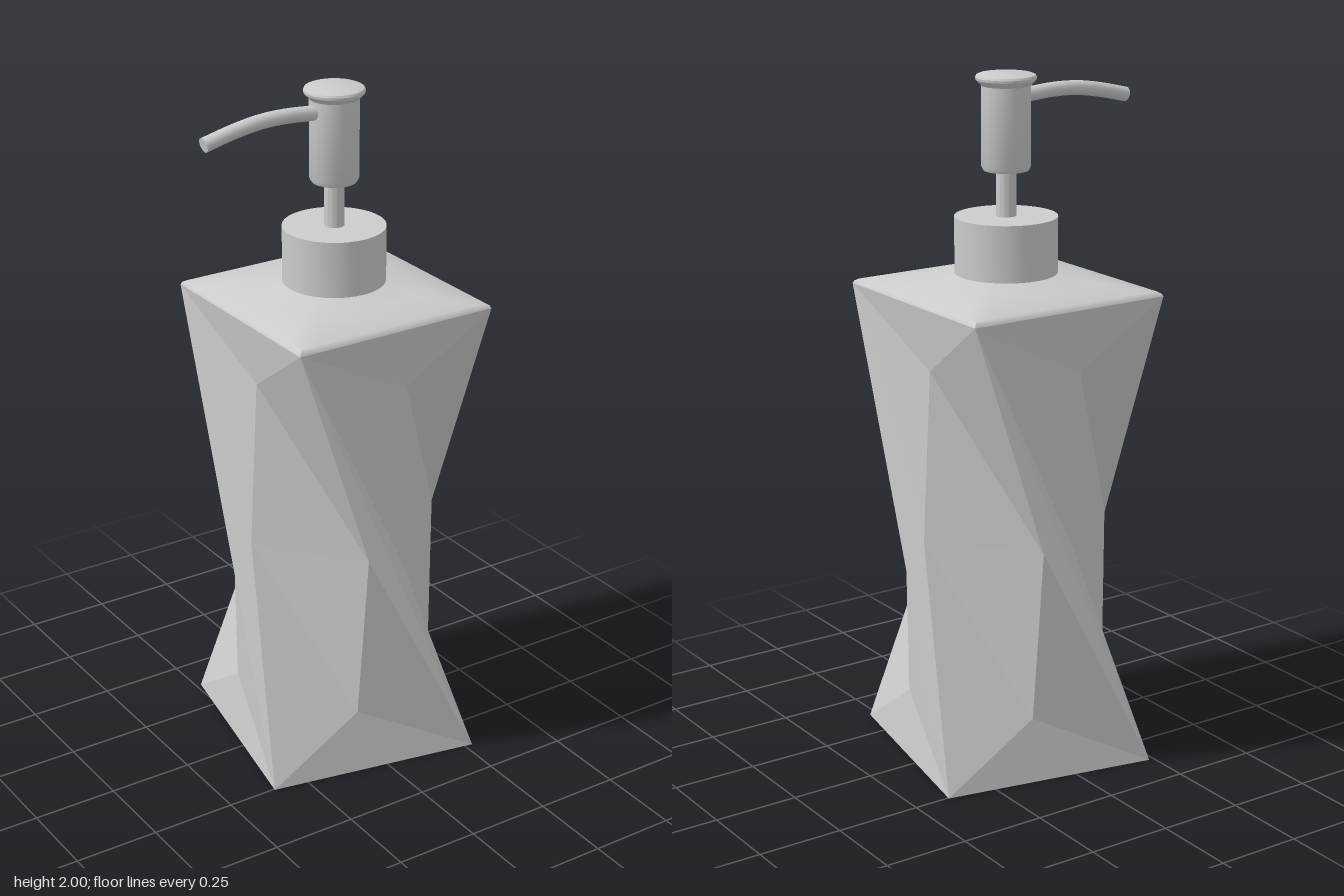
import * as THREE from 'three';
import { toCreasedNormals } from 'three/addons/utils/BufferGeometryUtils.js';

const AXIS_X = 0.02; // bottle axis, offset to balance the spout
const material = new THREE.MeshStandardMaterial({ color: 0xcccccc, side: THREE.DoubleSide });
const TOP = 1.385, HALF = 0.318;

function addMesh(parent, name, geometry) {
  const mesh = new THREE.Mesh(geometry, material);
  mesh.name = name;
  parent.add(mesh);
  return mesh;
}

// Twisted square body: one faceted panel repeated four times about the axis
function bodyGeometry() {
  const P = {
    T1: [-HALF, TOP, HALF], T2: [HALF, TOP, HALF],   // top corners
    B1: [0.254, 0, 0.373], B2: [0.373, 0, -0.254],   // bottom corners
    A: [0.05, 1.2, 0.292], D: [0.28, 0.187, 0.1],    // upper and lower folds
    M1: [0.022, 0.69, 0.3], M2: [0.3, 0.69, 0.078],  // middle folds
    O: [0, 0, 0],
  };
  const faces = [
    'T1 A T2', 'T1 M1 A', 'T1 B1 M1', 'B1 D M1', 'B1 B2 D', 'B2 M2 D',
    'B2 T2 M2', 'T2 A M2', 'A M1 M2', 'M1 D M2', 'O B2 B1',
  ];
  const positions = [];
  for (let k = 0; k < 4; k++) {
    for (const face of faces) {
      for (const key of face.split(' ')) {
        let [x, y, z] = P[key];
        for (let r = 0; r < k; r++) [x, z] = [-z, x];
        positions.push(x, y, z);
      }
    }
  }
  const geometry = new THREE.BufferGeometry();
  geometry.setAttribute('position', new THREE.Float32BufferAttribute(positions, 3));
  geometry.computeVertexNormals();
  return geometry;
}

// Shoulder: rings blending from a square to a circle
function shoulderGeometry() {
  const N = 64;
  // [half size, height, roundness]
  const rings = [
    [HALF, TOP, 0], [0.314, 1.393, 0], [0.304, 1.399, 0],
    [0.225, 1.419, 0.4], [0.145, 1.438, 1],
  ];
  const positions = [], index = [];
  rings.forEach(([size, y, round], i) => {
    for (let j = 0; j < N; j++) {
      const a = (j / N) * Math.PI * 2, c = Math.cos(a), s = Math.sin(a);
      const square = 1 / Math.max(Math.abs(c), Math.abs(s));
      const r = size * (square * (1 - round) + round);
      positions.push(r * c, y, r * s);
      if (i < rings.length - 1) {
        const p = i * N + j, q = i * N + (j + 1) % N;
        index.push(p, p + N, q + N, p, q + N, q);
      }
    }
  });
  const geometry = new THREE.BufferGeometry();
  geometry.setAttribute('position', new THREE.Float32BufferAttribute(positions, 3));
  geometry.setIndex(index);
  return toCreasedNormals(geometry, 0.7);
}

function lathe(points) {
  const geometry = new THREE.LatheGeometry(points.map(([r, y]) => new THREE.Vector2(r, y)), 48);
  return toCreasedNormals(geometry, 0.6);
}

export function createModel() {
  const group = new THREE.Group();
  group.name = 'soapDispenser';

  const bottle = new THREE.Group();
  bottle.name = 'bottle';
  bottle.position.x = AXIS_X;
  group.add(bottle);
  addMesh(bottle, 'twistedBody', bodyGeometry());
  addMesh(bottle, 'shoulder', shoulderGeometry());

  const pump = new THREE.Group();
  pump.name = 'pump';
  pump.position.x = AXIS_X;
  group.add(pump);
  addMesh(pump, 'collar', lathe([[0, 1.42], [0.147, 1.42], [0.147, 1.6], [0, 1.6]]));
  addMesh(pump, 'stem', lathe([[0.029, 1.59], [0.029, 1.75]]));
  addMesh(pump, 'pumpHead', lathe([
    [0, 1.73], [0.064, 1.73], [0.07, 1.742], [0.07, 1.968], [0.085, 1.984],
    [0.086, 1.991], [0.083, 1.997], [0.076, 2], [0, 2],
  ]));

  // Spout: gently drooping tube with a closed tip
  const path = new THREE.CatmullRomCurve3([
    [0, 1.933], [-0.07, 1.936], [-0.16, 1.942], [-0.24, 1.94], [-0.32, 1.928], [-0.416, 1.906],
  ].map(([x, y]) => new THREE.Vector3(x, y, 0)));
  addMesh(pump, 'spout', new THREE.TubeGeometry(path, 32, 0.021, 20));
  const tip = addMesh(pump, 'spoutTip', new THREE.CircleGeometry(0.021, 20));
  tip.position.copy(path.getPoint(1));
  tip.lookAt(path.getPoint(1).add(path.getTangent(1)));

  return group;
}
